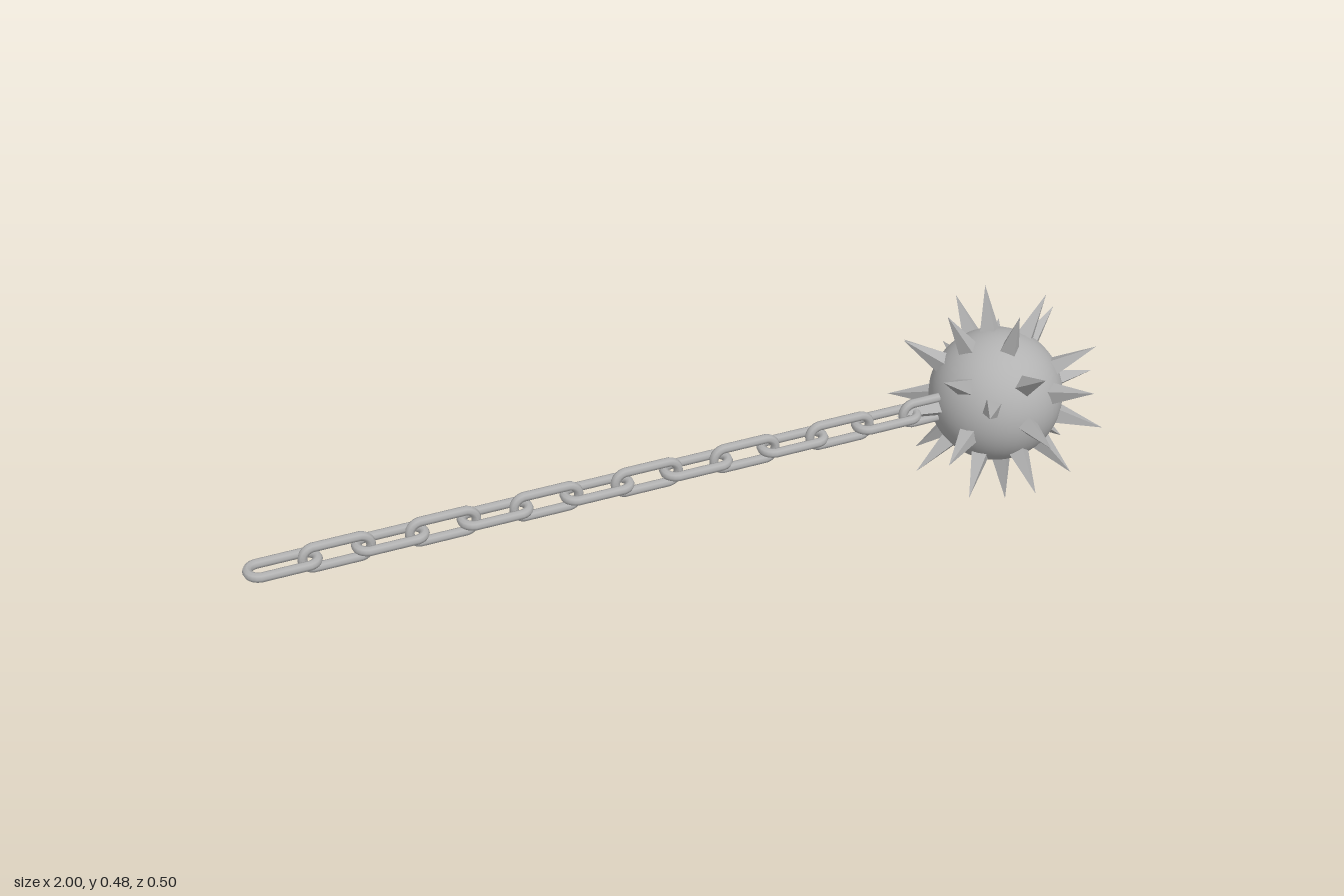
import * as THREE from 'three';

const CENTRE = new THREE.Vector3(0.747, 0.245, 0);
const BALL_RADIUS = 0.151;
const SPIKE_REACH = 0.252;
const SPIKE_ROOT = 0.135;

// Oval chain link: a torus whose halves are pulled apart along x.
function linkGeometry() {
  const geo = new THREE.TorusGeometry(0.0256, 0.0105, 8, 22);
  const pos = geo.attributes.position;
  for (let i = 0; i < pos.count; i++) {
    pos.setX(i, pos.getX(i) + Math.sign(pos.getX(i)) * 0.048);
  }
  return geo;
}

export function createModel() {
  const model = new THREE.Group();
  model.name = 'spikedBallOnChain';
  const steel = new THREE.MeshStandardMaterial({ color: 0xb2b2b2 });
  steel.name = 'steel';
  const spikeSteel = steel;

  // Ball
  const ball = new THREE.Mesh(new THREE.SphereGeometry(BALL_RADIUS, 40, 28), steel);
  ball.name = 'ball';
  ball.position.copy(CENTRE);
  model.add(ball);

  // Spikes: four-sided pyramids sunk into the ball
  const height = SPIKE_REACH - SPIKE_ROOT;
  const cone = new THREE.ConeGeometry(0.027, height, 4, 1, true).toNonIndexed();
  cone.translate(0, SPIKE_ROOT + height / 2, 0);
  cone.computeVertexNormals();
  const up = new THREE.Vector3(0, 1, 0);
  const spikes = new THREE.Group();
  spikes.name = 'spikes';
  spikes.position.copy(CENTRE);
  model.add(spikes);
  function addSpike(x, y, z) {
    const spike = new THREE.Mesh(cone, spikeSteel);
    spike.name = 'spike';
    spike.quaternion.setFromUnitVectors(up, new THREE.Vector3(x, y, z).normalize());
    spikes.add(spike);
  }

  // Ten spikes around the middle
  for (let i = 0; i < 10; i++) {
    const a = (i * Math.PI) / 5;
    addSpike(0, Math.sin(a), Math.cos(a));
  }
  // Two rings of five and one end spike, mirrored on both sides: [y, z] of each tip
  const outerRing = [[0.218, -0.02], [0.08, 0.2], [0.054, -0.213], [-0.166, 0.137], [-0.18, -0.117]];
  const innerRing = [[0.13, 0.097], [0.134, -0.092], [-0.055, 0.149], [-0.045, -0.16], [-0.166, -0.006]];
  for (const side of [1, -1]) {
    addSpike(side, 0, 0);
    for (const [y, z] of [...outerRing, ...innerRing]) {
      addSpike(side * Math.sqrt(SPIKE_REACH ** 2 - y * y - z * z), y, z);
    }
  }

  // Chain: links turned a quarter each time, the last one anchored in the ball
  const link = linkGeometry();
  const chain = new THREE.Group();
  chain.name = 'chain';
  for (let i = 0; i < 14; i++) {
    const mesh = new THREE.Mesh(link, steel);
    mesh.name = 'chainLink';
    mesh.position.set(-0.916 + i * 0.1155, CENTRE.y, 0);
    if (i % 2 === 0) mesh.rotation.x = Math.PI / 2;
    chain.add(mesh);
  }
  model.add(chain);
  return model;
}
